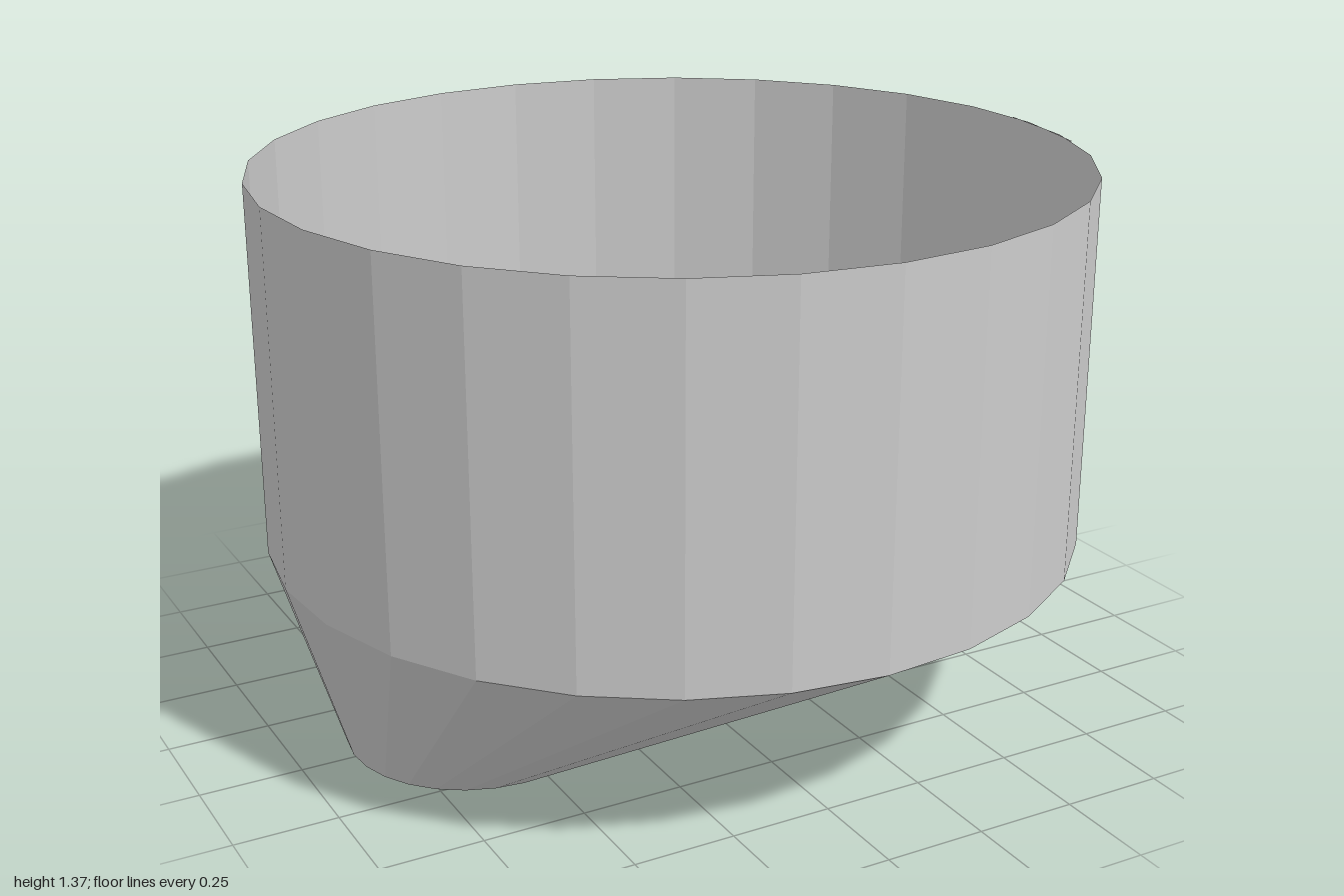
import * as THREE from 'three';

const SIDES = 29;
const START = THREE.MathUtils.degToRad(73);
const SWEEP = THREE.MathUtils.degToRad(377); // the sheet overlaps itself slightly at the seam
const RIM_Y = 1.366, BREAK_Y = 0.456;
const OUTLET_R = 0.309, OUTLET_X = -0.557;

export function createModel() {
  const group = new THREE.Group();
  group.name = 'hopper';
  const material = new THREE.MeshStandardMaterial({
    color: 0xcccccc, flatShading: true, side: THREE.DoubleSide,
  });

  // Open, faceted sheet wall between two heights
  function wall(name, topRadius, bottomRadius, y0, y1) {
    const geometry = new THREE.CylinderGeometry(
      topRadius, bottomRadius, y1 - y0, SIDES, 1, true, START, SWEEP);
    geometry.translate(0, (y0 + y1) / 2, 0);
    const mesh = new THREE.Mesh(geometry, material);
    mesh.name = name;
    group.add(mesh);
    return geometry;
  }

  // Straight upper drum, open at the top
  wall('drumWall', 1, 1, BREAK_Y, RIM_Y);

  // Funnel sheared sideways to an off-centre open outlet
  const funnel = wall('funnelWall', 1, OUTLET_R, 0, BREAK_Y);
  const p = funnel.attributes.position;
  for (let i = 0; i < p.count; i++) {
    p.setX(i, p.getX(i) + OUTLET_X * (1 - p.getY(i) / BREAK_Y));
  }
  funnel.computeVertexNormals();

  return group;
}
